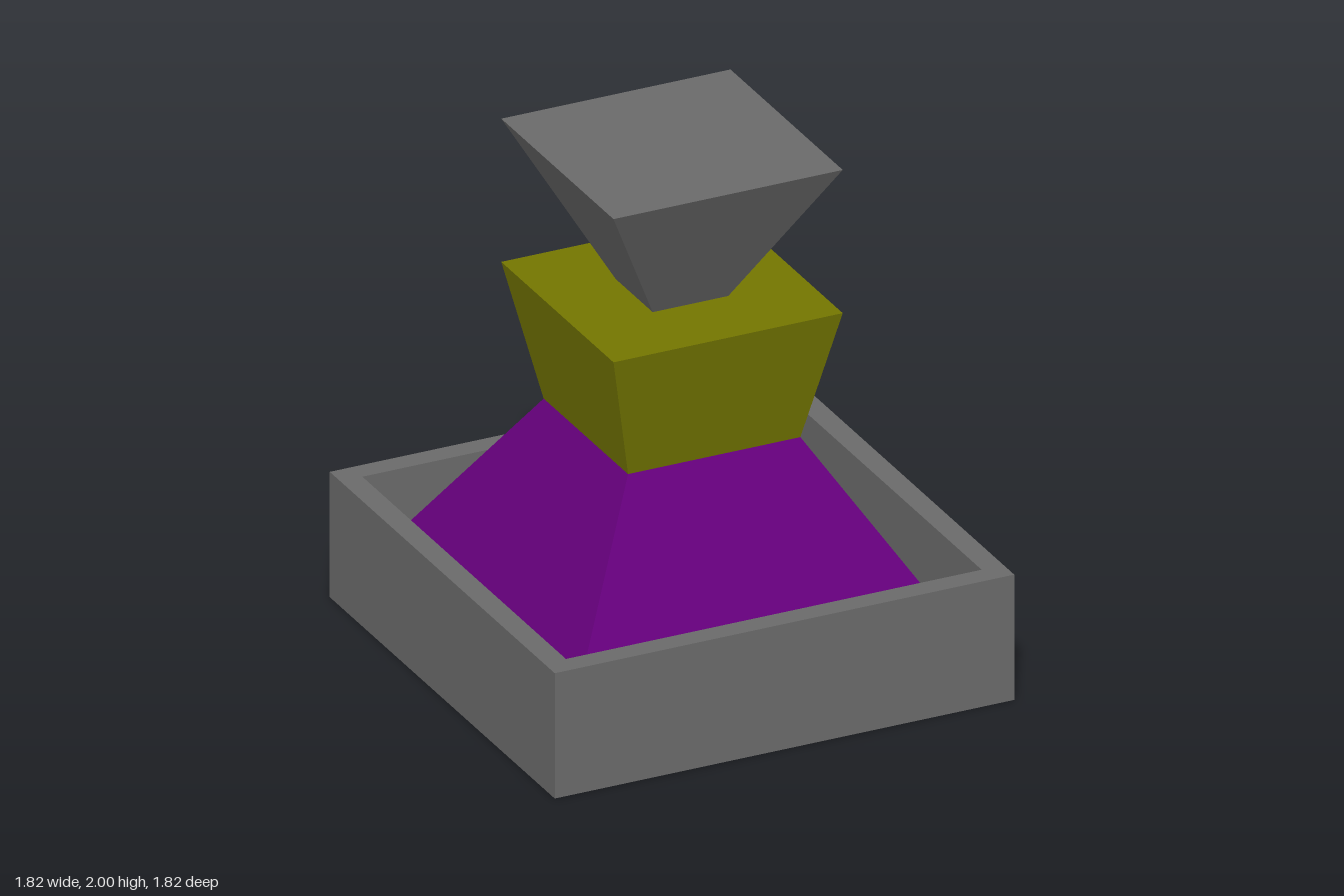
import * as THREE from 'three';

const material = (color) => new THREE.MeshStandardMaterial({ color, flatShading: true });

// Square frustum given by its half-widths and its lower and upper heights
function frustum(name, bottom, top, y0, y1, mat) {
  const geometry = new THREE.CylinderGeometry(top * Math.SQRT2, bottom * Math.SQRT2, y1 - y0, 4);
  geometry.rotateY(Math.PI / 4);
  geometry.translate(0, (y0 + y1) / 2, 0);
  const mesh = new THREE.Mesh(geometry, mat);
  mesh.name = name;
  return mesh;
}

function square(target, h) {
  target.moveTo(-h, -h);
  target.lineTo(h, -h);
  target.lineTo(h, h);
  target.lineTo(-h, h);
  target.closePath();
  return target;
}

export function createModel() {
  const model = new THREE.Group();
  model.name = 'tieredPedestal';
  const grey = material(0x6a6a6a);
  const outer = 0.912, inner = 0.825, rimY = 0.497, floorY = 0.14;

  // Open tray: a square wall around a solid floor
  const tray = new THREE.Group();
  tray.name = 'tray';
  const outline = square(new THREE.Shape(), outer);
  outline.holes.push(square(new THREE.Path(), inner));
  const wallGeometry = new THREE.ExtrudeGeometry(outline, { depth: rimY, bevelEnabled: false });
  wallGeometry.rotateX(-Math.PI / 2);
  const wall = new THREE.Mesh(wallGeometry, grey);
  wall.name = 'trayWall';
  tray.add(wall, frustum('trayFloor', inner, inner, 0, floorY, grey));
  model.add(tray);

  // Stacked tiers, the foot spreading to the inside of the wall
  model.add(
    frustum('foot', 0.83, 0.342, floorY, 0.915, material(0x65007c)),
    frustum('middleTier', 0.342, 0.455, 0.915, 1.432, material(0x747600)),
    frustum('topTier', 0.15, 0.455, 1.432, 2, grey)
  );
  return model;
}
